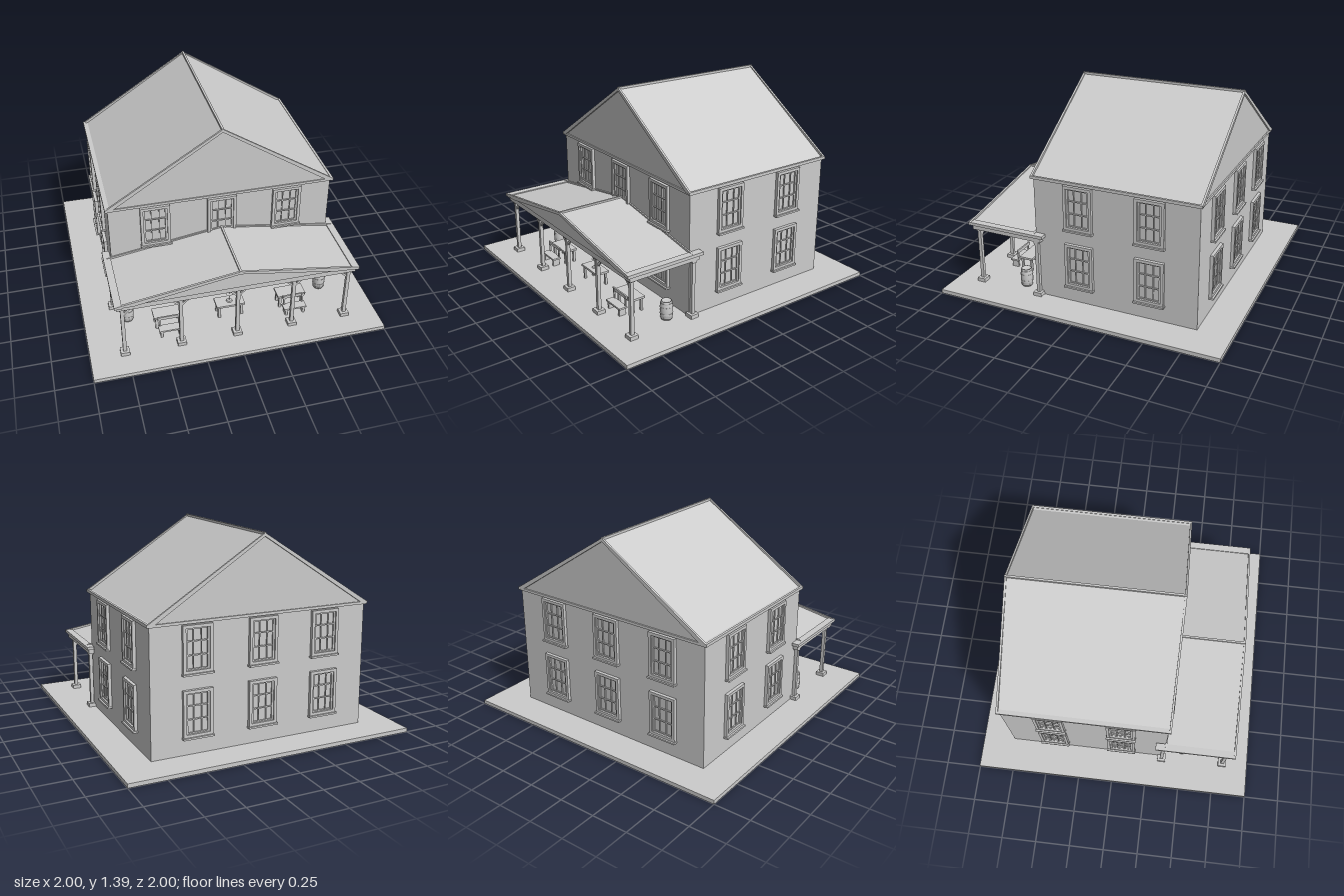
import * as THREE from 'three';

const grey = new THREE.MeshStandardMaterial({ color: 0xcccccc });
grey.name = 'plain grey';

function add(parent, name, geo, x = 0, y = 0, z = 0) {
  const m = new THREE.Mesh(geo, grey);
  m.name = name;
  m.position.set(x, y, z);
  parent.add(m);
  return m;
}

// Box given by its limits on each axis
function block(parent, name, x0, x1, y0, y1, z0, z1) {
  return add(parent, name, new THREE.BoxGeometry(x1 - x0, y1 - y0, z1 - z0),
    (x0 + x1) / 2, (y0 + y1) / 2, (z0 + z1) / 2);
}

// Outline in x and y, extruded from z0 to z1
function prism(parent, name, pts, z0, z1) {
  const shape = new THREE.Shape(pts.map(p => new THREE.Vector2(p[0], p[1])));
  return add(parent, name,
    new THREE.ExtrudeGeometry(shape, { depth: z1 - z0, bevelEnabled: false }), 0, 0, z0);
}

function group(parent, name, x = 0, y = 0, z = 0, turn = 0) {
  const g = new THREE.Group();
  g.name = name;
  g.position.set(x, y, z);
  g.rotation.y = turn;
  parent.add(g);
  return g;
}

// Square bar between two points
function bar(parent, name, a, b, size) {
  const from = new THREE.Vector3(...a), to = new THREE.Vector3(...b);
  const m = add(parent, name, new THREE.BoxGeometry(size, size, from.distanceTo(to)));
  m.position.copy(from).lerp(to, 0.5);
  m.lookAt(to);
  return m;
}

// Gable roof: solid core, raised rake boards at each end, ridge cap
function gableRoof(parent, name, half, eave, ridge, z0, z1, trim) {
  const g = group(parent, name);
  const slope = (ridge - eave) / half;
  prism(g, 'roofCore', [[-half + 0.012, eave], [half - 0.012, eave], [0, ridge - 0.008]], z0 + 0.012, z1 - 0.012);
  const rake = [[-half, eave], [-half + trim / slope, eave], [0, ridge - trim],
    [half - trim / slope, eave], [half, eave], [half, eave + 0.012], [0, ridge], [-half, eave + 0.012]];
  prism(g, 'rakeBoardBack', rake, z0, z0 + 0.014);
  prism(g, 'rakeBoardFront', rake, z1 - 0.014, z1);
  for (const s of [-1, 1]) block(g, 'eaveBoard', s * half - 0.008, s * half + 0.008, eave - 0.008, eave + 0.012, z0, z1);
  block(g, 'ridgeCap', -0.007, 0.007, ridge - 0.014, ridge + 0.003, z0, z1);
  return g;
}

// Sash window facing local +z, with its sill at local y = 0
function sashWindow(parent, x, y, z, turn) {
  const g = group(parent, 'window', x, y, z, turn);
  block(g, 'pane', -0.085, 0.085, 0.015, 0.3, -0.005, 0.003);
  for (const s of [-1, 1]) block(g, 'jamb', s * 0.09 - 0.01, s * 0.09 + 0.01, 0.01, 0.315, -0.005, 0.022);
  block(g, 'head', -0.08, 0.08, 0.295, 0.315, -0.005, 0.022);
  block(g, 'bottomRail', -0.08, 0.08, 0.012, 0.03, -0.005, 0.022);
  block(g, 'sill', -0.105, 0.105, 0, 0.012, -0.005, 0.034);
  for (const s of [-1, 1]) {
    block(g, 'sashSide', s * 0.074 - 0.007, s * 0.074 + 0.007, 0.03, 0.295, 0, 0.013);
    block(g, 'verticalBar', s * 0.027 - 0.003, s * 0.027 + 0.003, 0.03, 0.295, 0, 0.011);
  }
  for (const h of [0.036, 0.124, 0.212, 0.29]) block(g, 'crossBar', -0.08, 0.08, h - 0.004, h + 0.004, 0, 0.011);
}

function table(parent, x, z) {
  const g = group(parent, 'table', x, 0.028, z);
  block(g, 'tableTop', -0.1, 0.1, 0.09, 0.105, -0.05, 0.05);
  for (const sx of [-1, 1]) for (const sz of [-1, 1])
    block(g, 'tableLeg', sx * 0.08 - 0.009, sx * 0.08 + 0.009, 0, 0.09, sz * 0.034 - 0.008, sz * 0.034 + 0.008);
  return g;
}

// Bench with its back towards the house
function bench(parent, x, z) {
  const g = group(parent, 'bench', x, 0.028, z);
  block(g, 'benchSeat', -0.08, 0.08, 0.048, 0.06, -0.03, 0.032);
  for (const s of [-1, 1]) {
    block(g, 'benchLeg', s * 0.062 - 0.008, s * 0.062 + 0.008, 0, 0.048, -0.024, 0.026);
    block(g, 'backPost', s * 0.066 - 0.006, s * 0.066 + 0.006, 0.06, 0.135, -0.03, -0.02);
  }
  block(g, 'backRail', -0.08, 0.08, 0.112, 0.135, -0.032, -0.022);
}

function barrel(parent, x, z) {
  const g = group(parent, 'barrel', x, 0.026, z);
  const pts = [[0, 0], [0.035, 0], [0.041, 0.03], [0.043, 0.065], [0.041, 0.1], [0.035, 0.13], [0.031, 0.13], [0.031, 0.124], [0, 0.124]];
  add(g, 'staves', new THREE.LatheGeometry(pts.map(p => new THREE.Vector2(...p)), 20));
  for (const [h, r] of [[0.015, 0.04], [0.042, 0.0435], [0.088, 0.0435], [0.115, 0.04]])
    add(g, 'hoop', new THREE.CylinderGeometry(r, r, 0.008, 20), 0, h, 0);
}

export function createModel() {
  const model = new THREE.Group();
  model.name = 'houseWithPorch';

  block(model, 'ground', -1, 1, 0, 0.027, -1, 1);

  // Main house
  block(model, 'walls', -0.765, 0.765, 0.027, 0.87, -0.77, 0.37);
  block(model, 'soffit', -0.775, 0.775, 0.866, 0.884, -0.782, 0.382);
  gableRoof(model, 'mainRoof', 0.775, 0.876, 1.383, -0.785, 0.387, 0.022);

  // Windows on all sides
  for (const y of [0.135, 0.545]) {
    for (const x of [-0.455, 0, 0.455]) {
      sashWindow(model, x, y, -0.77, Math.PI);
      if (x !== 0 || y > 0.5) sashWindow(model, x, y, 0.37, 0);
    }
    for (const z of [0.05, -0.445])
      for (const s of [-1, 1]) sashWindow(model, s * 0.765, y, z, s * Math.PI / 2);
  }

  // Double front door
  const door = group(model, 'frontDoor', 0, 0.027, 0.37);
  block(door, 'doorHead', -0.13, 0.13, 0.37, 0.39, -0.005, 0.022);
  for (const s of [-1, 1]) {
    block(door, 'doorJamb', s * 0.12 - 0.01, s * 0.12 + 0.01, 0, 0.37, -0.005, 0.022);
    block(door, 'doorLeaf', s * 0.055 - 0.053, s * 0.055 + 0.053, 0, 0.37, -0.005, 0.008);
    for (const [a, b] of [[0.03, 0.14], [0.165, 0.215], [0.235, 0.345]])
      block(door, 'doorPanel', s * 0.055 - 0.035, s * 0.055 + 0.035, a, b, 0, 0.014);
    add(door, 'doorKnob', new THREE.SphereGeometry(0.007, 10, 8), s * 0.012, 0.15, 0.016);
  }

  // Porch roof
  const porch = group(model, 'porch');
  gableRoof(porch, 'porchRoof', 0.812, 0.473, 0.612, 0.365, 0.865, 0.02);
  block(porch, 'frontBeam', -0.805, 0.805, 0.43, 0.468, 0.79, 0.842);
  for (const s of [-1, 1]) {
    block(porch, 'sideBeam', s * 0.785 - 0.018, s * 0.785 + 0.018, 0.43, 0.468, 0.32, 0.84);
    block(porch, 'sideEave', s * 0.795 - 0.025, s * 0.795 + 0.025, 0.464, 0.485, 0.298, 0.862);
  }

  // Porch posts with footings, caps and braces
  const post = (x, z) => {
    const g = group(porch, 'post', x, 0, z);
    block(g, 'shaft', -0.012, 0.012, 0.027, 0.435, -0.012, 0.012);
    block(g, 'footing', -0.03, 0.03, 0.027, 0.053, -0.03, 0.03);
    block(g, 'cap', -0.018, 0.018, 0.415, 0.43, -0.018, 0.018);
  };
  for (const x of [-0.768, -0.385, 0, 0.385, 0.768]) {
    post(x, 0.812);
    for (const s of [-1, 1])
      if (Math.abs(x + s * 0.07) < 0.79)
        bar(porch, 'brace', [x, 0.365, 0.812], [x + s * 0.07, 0.435, 0.812], 0.014);
  }
  for (const s of [-1, 1]) post(s * 0.782, 0.355);

  // Furniture and barrels
  const middle = table(model, 0, 0.605);
  add(middle, 'candlestick', new THREE.CylinderGeometry(0.003, 0.003, 0.12, 8), 0, 0.165, 0);
  add(middle, 'candlestickFoot', new THREE.CylinderGeometry(0.018, 0.022, 0.008, 14), 0, 0.109, 0);
  add(middle, 'candlestickDish', new THREE.CylinderGeometry(0.024, 0.02, 0.004, 14), 0, 0.168, 0);
  for (const s of [-1, 1]) {
    table(model, s * 0.44, 0.605);
    bench(model, s * 0.44, 0.71);
    barrel(model, s * 0.7, 0.5);
  }
  return model;
}
